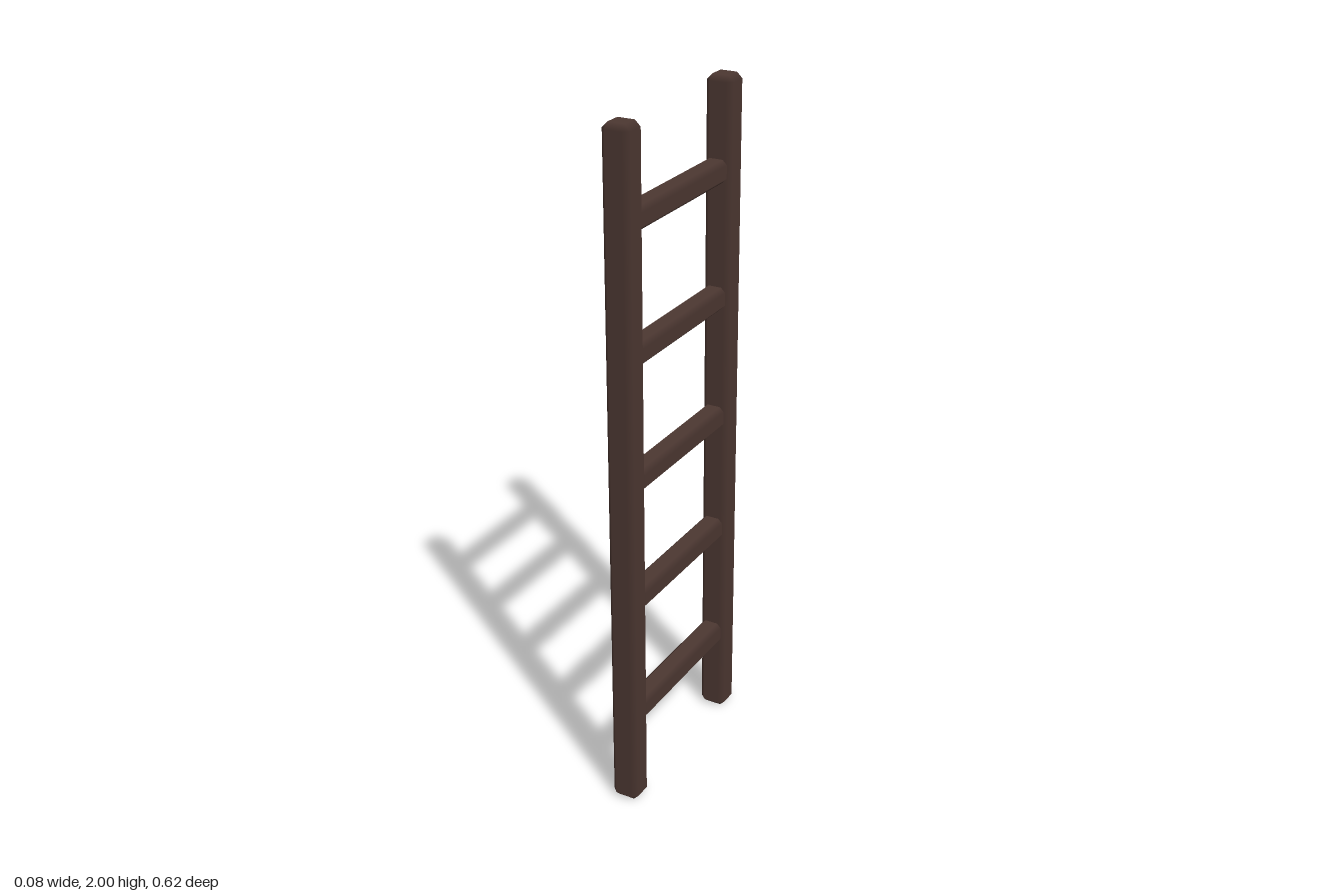
import * as THREE from 'three';
import { ConvexGeometry } from 'three/addons/geometries/ConvexGeometry.js';

// Box with single-step chamfers; main faces shade flat, chamfers blend between them.
function chamferedBox(width, height, depth, chamfer) {
  const half = [width / 2, height / 2, depth / 2];
  const points = [];
  for (const sx of [-1, 1]) for (const sy of [-1, 1]) for (const sz of [-1, 1]) {
    const signs = [sx, sy, sz];
    for (let axis = 0; axis < 3; axis++) {
      const p = half.map((h, i) => signs[i] * (i === axis ? h : h - chamfer));
      points.push(new THREE.Vector3(...p));
    }
  }
  const geometry = new ConvexGeometry(points);
  const position = geometry.attributes.position;
  const normal = geometry.attributes.normal;
  for (let i = 0; i < position.count; i++) {
    const p = [position.getX(i), position.getY(i), position.getZ(i)];
    const n = p.map((v, k) => (Math.abs(Math.abs(v) - half[k]) < 1e-4 ? Math.sign(v) : 0));
    normal.setXYZ(i, ...n);
  }
  return geometry;
}

export function createModel() {
  const ladder = new THREE.Group();
  ladder.name = 'ladder';
  const wood = new THREE.MeshStandardMaterial({ color: 0x4d3832 });

  // Two upright rails
  const railGeometry = chamferedBox(0.081, 2, 0.08, 0.016);
  for (const side of [-1, 1]) {
    const rail = new THREE.Mesh(railGeometry, wood);
    rail.name = side > 0 ? 'frontRail' : 'backRail';
    rail.position.set(0, 1, side * 0.272);
    ladder.add(rail);
  }

  // Five evenly spaced rungs, let slightly into the rails
  const rungGeometry = chamferedBox(0.065, 0.064, 0.482, 0.013);
  for (let i = 0; i < 5; i++) {
    const rung = new THREE.Mesh(rungGeometry, wood);
    rung.name = `rung${i + 1}`;
    rung.position.y = 0.277 + i * 0.3665;
    ladder.add(rung);
  }
  return ladder;
}
